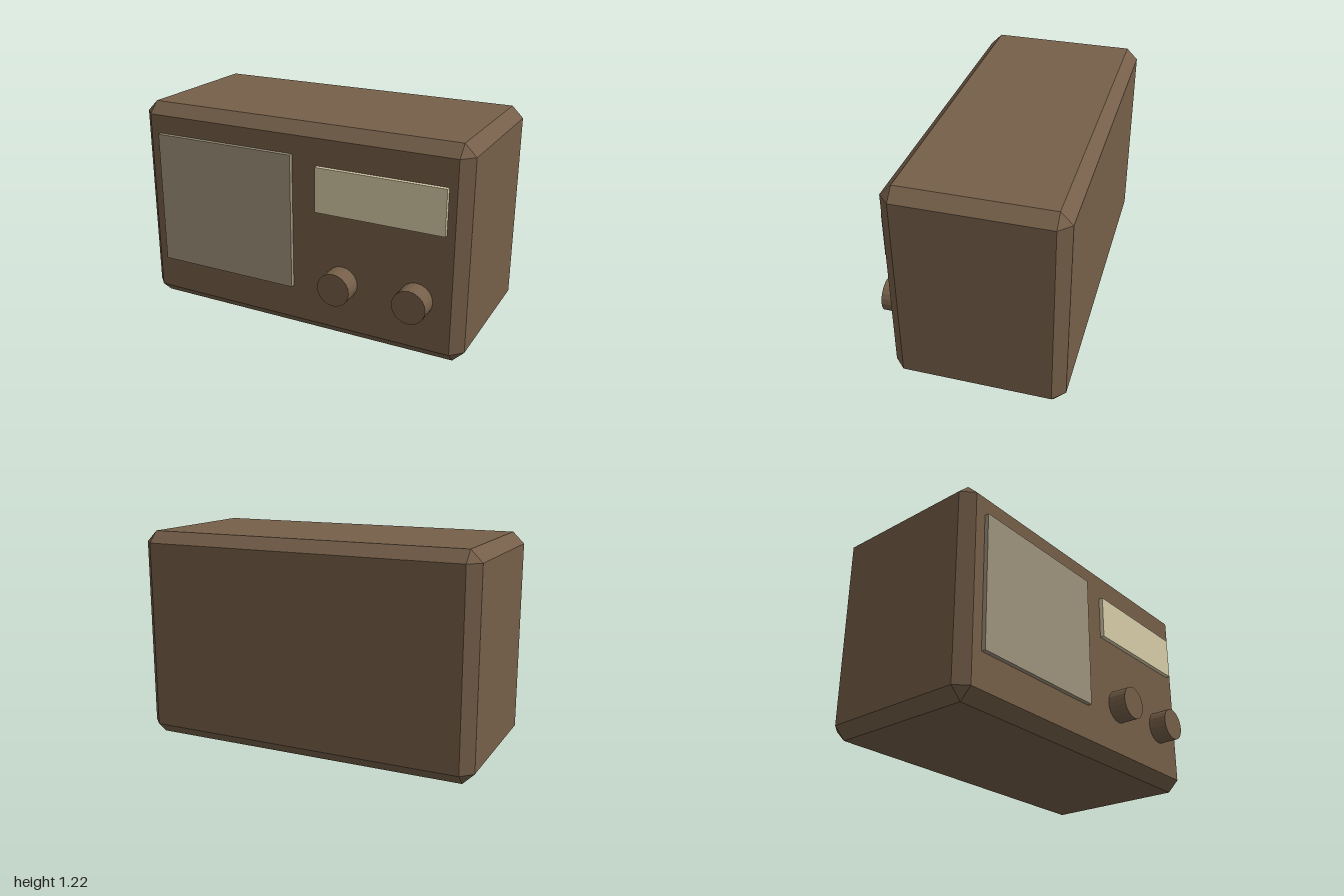
import * as THREE from 'three';
import { ConvexGeometry } from 'three/addons/geometries/ConvexGeometry.js';

const H = 1.217, FRONT = 0.425, BACK = -0.533, CHAMFER = 0.065;

const material = (color) => new THREE.MeshStandardMaterial({ color, flatShading: true });

// Box with every edge cut at 45 degrees: three points around each corner
function chamferedBox(w, h, d, c) {
  const points = [];
  for (const sx of [-1, 1]) for (const sy of [-1, 1]) for (const sz of [-1, 1]) {
    for (let axis = 0; axis < 3; axis++) {
      const inset = [0, 1, 2].map((i) => (i === axis ? 0 : c));
      points.push(new THREE.Vector3(
        sx * (w / 2 - inset[0]), sy * (h / 2 - inset[1]), sz * (d / 2 - inset[2])));
    }
  }
  return new ConvexGeometry(points);
}

export function createModel() {
  const group = new THREE.Group();
  const wood = material(0x755f49);

  const add = (name, geometry, mat, x, y, z) => {
    const mesh = new THREE.Mesh(geometry, mat);
    mesh.name = name;
    mesh.position.set(x, y, z);
    group.add(mesh);
  };

  // Cabinet
  add('cabinet', chamferedBox(2, H, FRONT - BACK, CHAMFER), wood, 0, H / 2, (FRONT + BACK) / 2);

  // Thin panels standing slightly proud of the front
  const panel = (name, x0, x1, y0, y1, color) =>
    add(name, new THREE.BoxGeometry(x1 - x0, y1 - y0, 0.05), material(color),
      (x0 + x1) / 2, (y0 + y1) / 2, FRONT);
  panel('speakerPanel', -0.87, 0, 0.265, 1.045, 0x9e937c);
  panel('tuningDial', 0.15, 0.89, 0.745, 1.0, 0xd8cda8);

  // Control knobs
  const knob = new THREE.CylinderGeometry(0.095, 0.095, 0.133, 20).rotateX(Math.PI / 2);
  add('rightKnob', knob, wood, 0.302, 0.35, 0.4665);
  add('leftKnob', knob, wood, 0.738, 0.35, 0.4665);

  return group;
}
